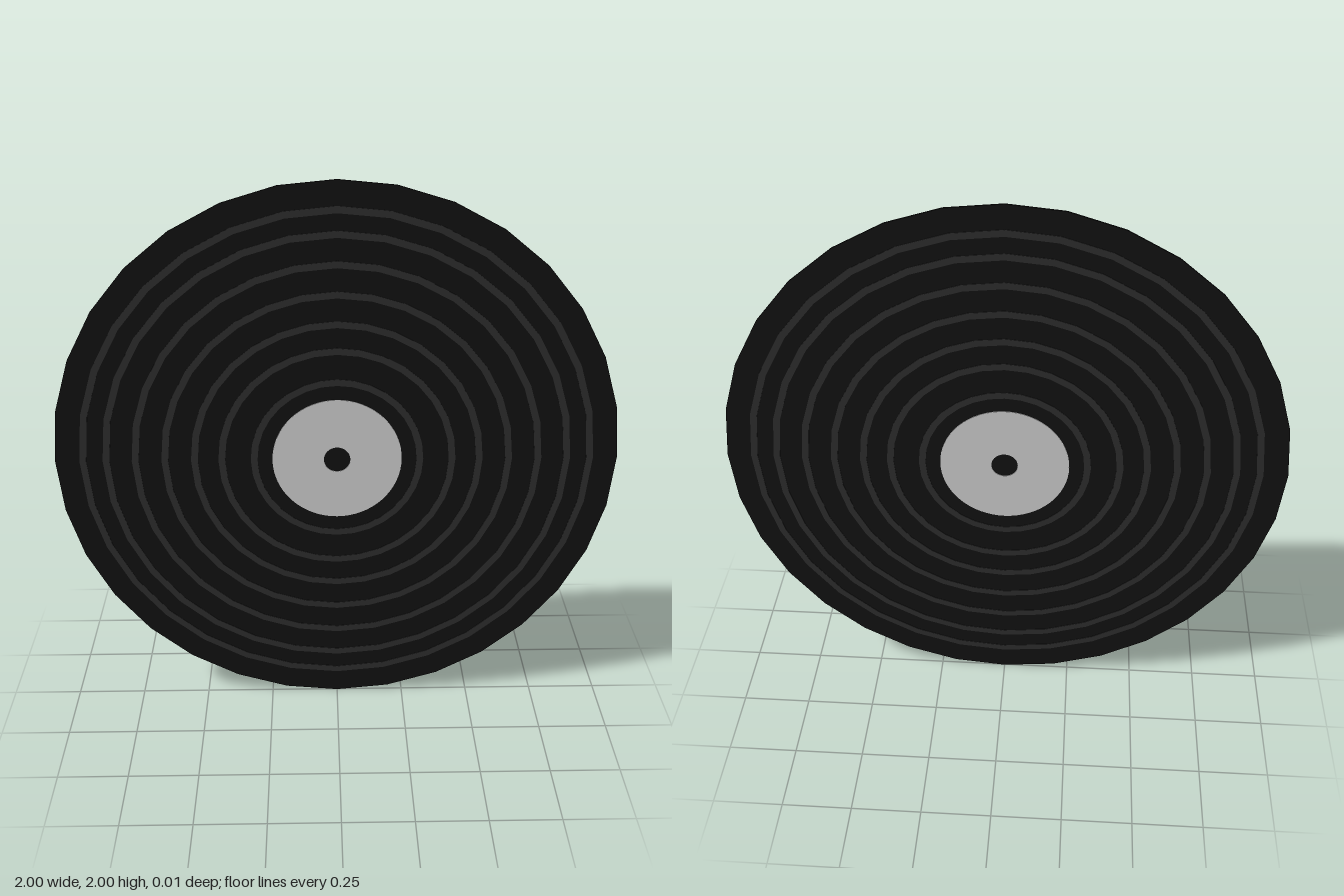
import * as THREE from 'three';

const vinyl = new THREE.MeshStandardMaterial({ color: 0x111111, flatShading: true });
const groove = new THREE.MeshStandardMaterial({ color: 0x2d2d2d, flatShading: true });
const paper = new THREE.MeshStandardMaterial({ color: 0xcccccc, flatShading: true });

// Flat ring with a rectangular section, facing +z and -z
function flatRing(name, inner, outer, depth, sides, material) {
  const h = depth / 2;
  const profile = [[inner, -h], [outer, -h], [outer, h], [inner, h], [inner, -h]]
    .map(([r, y]) => new THREE.Vector2(r, y));
  const geometry = new THREE.LatheGeometry(profile, sides).rotateX(Math.PI / 2);
  const mesh = new THREE.Mesh(geometry, material);
  mesh.name = name;
  return mesh;
}

export function createModel() {
  const record = new THREE.Group();
  record.name = 'record';

  // Solid disc, its dark centre showing through the label's hole
  const disc = new THREE.Mesh(
    new THREE.CylinderGeometry(1, 1, 0.006, 32).rotateX(Math.PI / 2), vinyl);
  disc.name = 'disc';
  record.add(disc);

  // Groove bands, visible on both sides
  [0.295, 0.41, 0.507, 0.612, 0.717, 0.82, 0.902].forEach((r, i) => {
    record.add(flatRing(`grooveBand${i + 1}`, r - 0.012, r + 0.012, 0.009, 32, groove));
  });

  // Centre label on both sides
  record.add(flatRing('label', 0.047, 0.23, 0.01, 64, paper));

  record.position.y = 1;
  const model = new THREE.Group();
  model.name = 'vinylRecord';
  model.add(record);
  return model;
}
